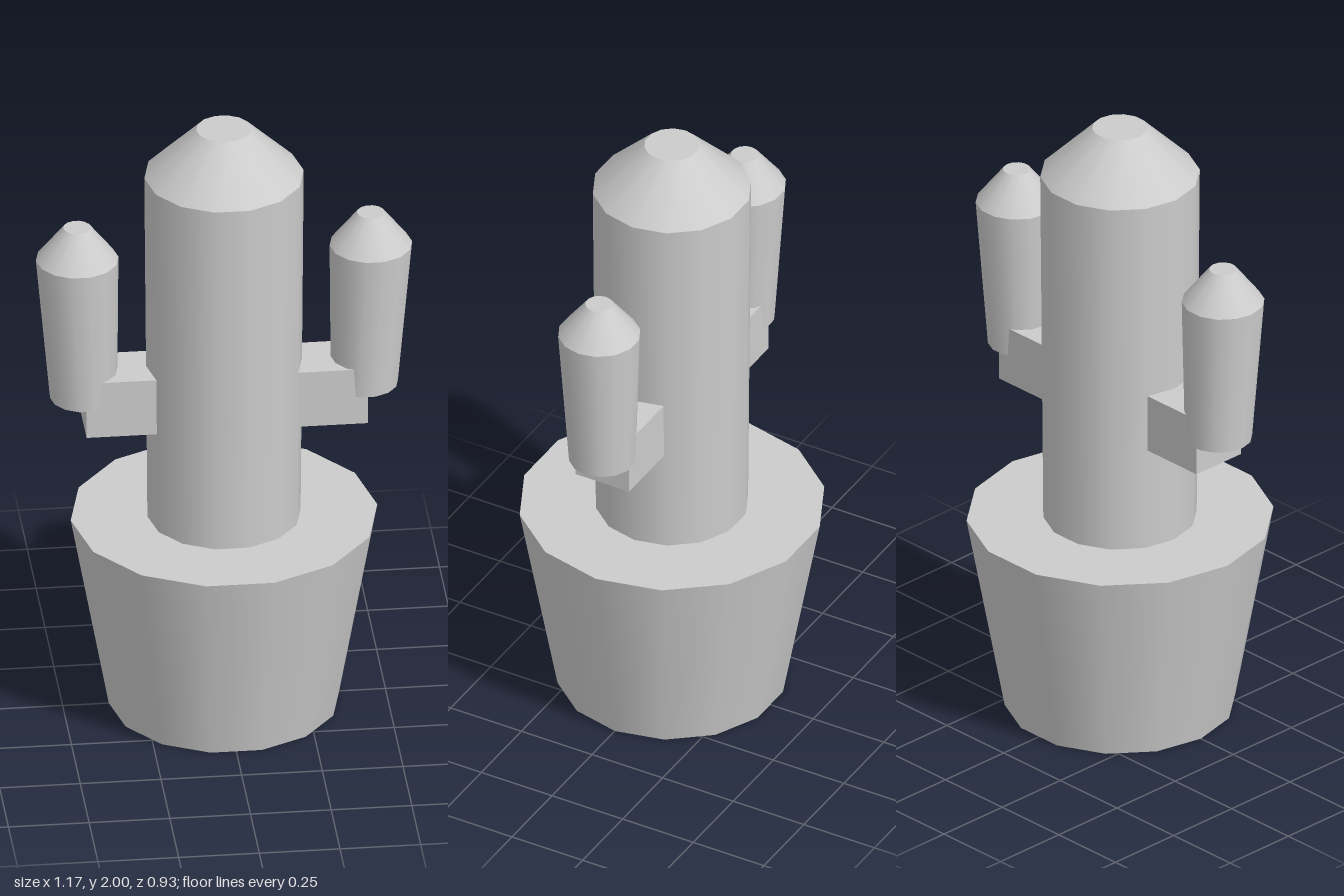
import * as THREE from 'three';

const SIDES = 14;

// Tapered 14-sided segment from y0 to y1 with a corner on the x axis;
// shift slides its lower end sideways to make it lean.
function segment(name, material, r0, r1, y0, y1, shift = 0) {
  const h = y1 - y0;
  const geo = new THREE.CylinderGeometry(r1, r0, h, SIDES);
  geo.rotateY(Math.PI / 2);
  geo.translate(0, y0 + h / 2, 0);
  const p = geo.attributes.position;
  for (let i = 0; i < p.count; i++) {
    p.setX(i, p.getX(i) + (shift * (y1 - p.getY(i))) / h);
  }
  const mesh = new THREE.Mesh(geo, material);
  mesh.name = name;
  return mesh;
}

export function createModel() {
  const model = new THREE.Group();
  model.name = 'pottedCactus';
  const grey = new THREE.MeshStandardMaterial({ color: 0xcccccc });
  grey.name = 'plainGrey';

  // Pot, trunk and tapered tip
  model.add(
    segment('pot', grey, 0.357, 0.475, 0, 0.65),
    segment('trunk', grey, 0.237, 0.247, 0.6, 1.84),
    segment('trunkTip', grey, 0.247, 0.086, 1.84, 2),
  );

  // Side arms: a square elbow and an upright, slightly leaning branch
  for (const side of [1, -1]) {
    const arm = new THREE.Group();
    arm.name = side > 0 ? 'leftArm' : 'rightArm';

    const elbow = new THREE.Mesh(new THREE.BoxGeometry(0.286, 0.19, 0.19), grey);
    elbow.name = 'elbow';
    elbow.position.set(side * 0.293, 1.085, 0);

    const branch = segment('branch', grey, 0.104, 0.128, 1.085, 1.57, -side * 0.02);
    const tip = segment('branchTip', grey, 0.128, 0.043, 1.57, 1.68);
    branch.position.x = tip.position.x = side * 0.455;

    arm.add(elbow, branch, tip);
    model.add(arm);
  }
  return model;
}
